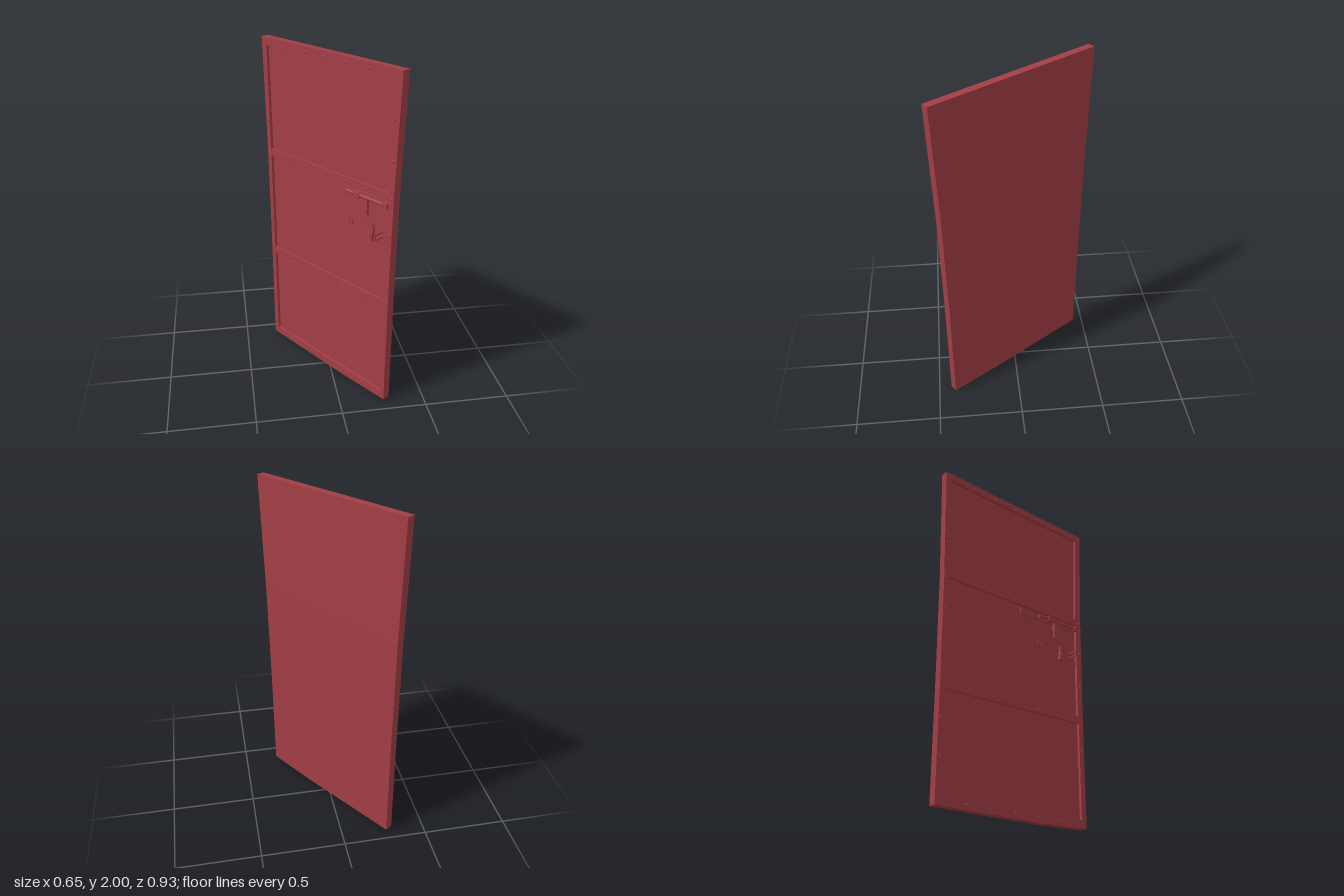
import * as THREE from 'three';

export function createModel() {
  const red = new THREE.MeshStandardMaterial({ color: 0xa23e45 });
  red.name = 'red paint';
  const model = new THREE.Group();
  model.name = 'metalDoor';
  const door = new THREE.Group();
  door.name = 'door';
  door.rotation.y = -0.976; // door hangs open
  model.add(door);

  const FRONT = 0.0235, PANEL = 0.007;

  function add(name, geometry, x = 0, y = 0, z = 0) {
    const mesh = new THREE.Mesh(geometry, red);
    mesh.name = name;
    mesh.position.set(x, y, z);
    door.add(mesh);
    return mesh;
  }
  const box = (name, x0, x1, y0, y1, z0, z1) =>
    add(name, new THREE.BoxGeometry(x1 - x0, y1 - y0, z1 - z0),
      (x0 + x1) / 2, (y0 + y1) / 2, (z0 + z1) / 2);
  const points = (list) => list.map(([x, y]) => new THREE.Vector2(x, y));
  const extrude = (shape, depth) =>
    new THREE.ExtrudeGeometry(shape, { depth, bevelEnabled: false, curveSegments: 8 });

  // Slab, slightly flared towards the top
  const outline = points([[-0.516, 0.008], [0.15, 0], [0.497, 0.008], [0.503, 0.7],
    [0.515, 1.3], [0.544, 1.98], [-0.544, 2], [-0.524, 1.3], [-0.518, 0.7]]);
  add('slab', extrude(new THREE.Shape(outline), PANEL + 0.0235), 0, 0, -0.0235);

  // Raised frame around three recessed panels
  const frame = new THREE.Shape(outline);
  [
    [[-0.479, 0.05], [0.462, 0.055], [0.468, 0.627], [-0.485, 0.62]],
    [[-0.486, 0.664], [0.464, 0.672], [0.474, 1.283], [-0.492, 1.288]],
    [[-0.492, 1.328], [0.472, 1.328], [0.502, 1.935], [-0.503, 1.955]],
  ].forEach((hole) => frame.holes.push(new THREE.Path(points(hole))));
  add('frame', extrude(frame, FRONT - PANEL), 0, 0, PANEL);

  // Rivets along rails and stiles
  const rivetShape = new THREE.SphereGeometry(0.009, 8, 4, 0, Math.PI * 2, 0, Math.PI / 2);
  rivetShape.rotateX(Math.PI / 2);
  rivetShape.scale(1, 1, 0.6);
  const rivet = (x, y) => add('rivet', rivetShape, x, y, FRONT);
  for (let i = 0; i < 5; i++) {
    const x = -0.33 + 0.16 * i;
    [0.032, 0.645, 1.306, 1.966 - i * 0.003].forEach((y) => rivet(x, y));
  }
  [0.25, 0.46, 0.87, 1.09, 1.3, 1.51, 1.73].forEach((y) => {
    rivet(-0.497 - 0.008 * y, y);
    rivet(0.476 + 0.016 * y, y);
  });

  // Sliding bolt with its plate and brackets
  box('boltPlate', 0.032, 0.468, 1.235, 1.275, PANEL, 0.015);
  const bolt = add('bolt', new THREE.CylinderGeometry(0.011, 0.011, 0.31, 10), 0.324, 1.256, 0.026);
  bolt.rotation.z = Math.PI / 2;
  box('boltBracket', 0.235, 0.275, 1.242, 1.27, 0.012, 0.041);
  box('boltBracket', 0.452, 0.478, 1.242, 1.27, 0.012, 0.039);

  // Curved lever hanging from the bolt
  const lever = new THREE.Shape();
  lever.moveTo(0.288, 1.245);
  lever.lineTo(0.288, 1.165);
  lever.bezierCurveTo(0.288, 1.12, 0.335, 1.13, 0.335, 1.075);
  lever.lineTo(0.325, 1.01);
  lever.quadraticCurveTo(0.345, 0.99, 0.368, 1.01);
  lever.lineTo(0.378, 1.08);
  lever.bezierCurveTo(0.378, 1.14, 0.328, 1.13, 0.328, 1.17);
  lever.lineTo(0.328, 1.245);
  add('lever', extrude(lever, 0.016), 0, 0, 0.012);
  const pivot = add('leverBoss', new THREE.CylinderGeometry(0.016, 0.016, 0.026, 10), 0.352, 1.045, 0.02);
  pivot.rotation.x = Math.PI / 2;

  // Square staple beside the lever
  for (const y of [1.047, 1.077]) box('stapleLeg', 0.423, 0.431, y, y + 0.008, PANEL, 0.066);
  box('stapleBar', 0.423, 0.431, 1.047, 1.085, 0.058, 0.066);

  // Keyhole cover
  const cover = new THREE.Shape();
  cover.absellipse(0, 0, 0.022, 0.028, 0, Math.PI * 2);
  const slot = new THREE.Path();
  slot.absellipse(0, 0, 0.006, 0.013, 0, Math.PI * 2);
  cover.holes.push(slot);
  add('keyholeCover', extrude(cover, 0.007), 0.187, 1.075, PANEL);

  return model;
}
